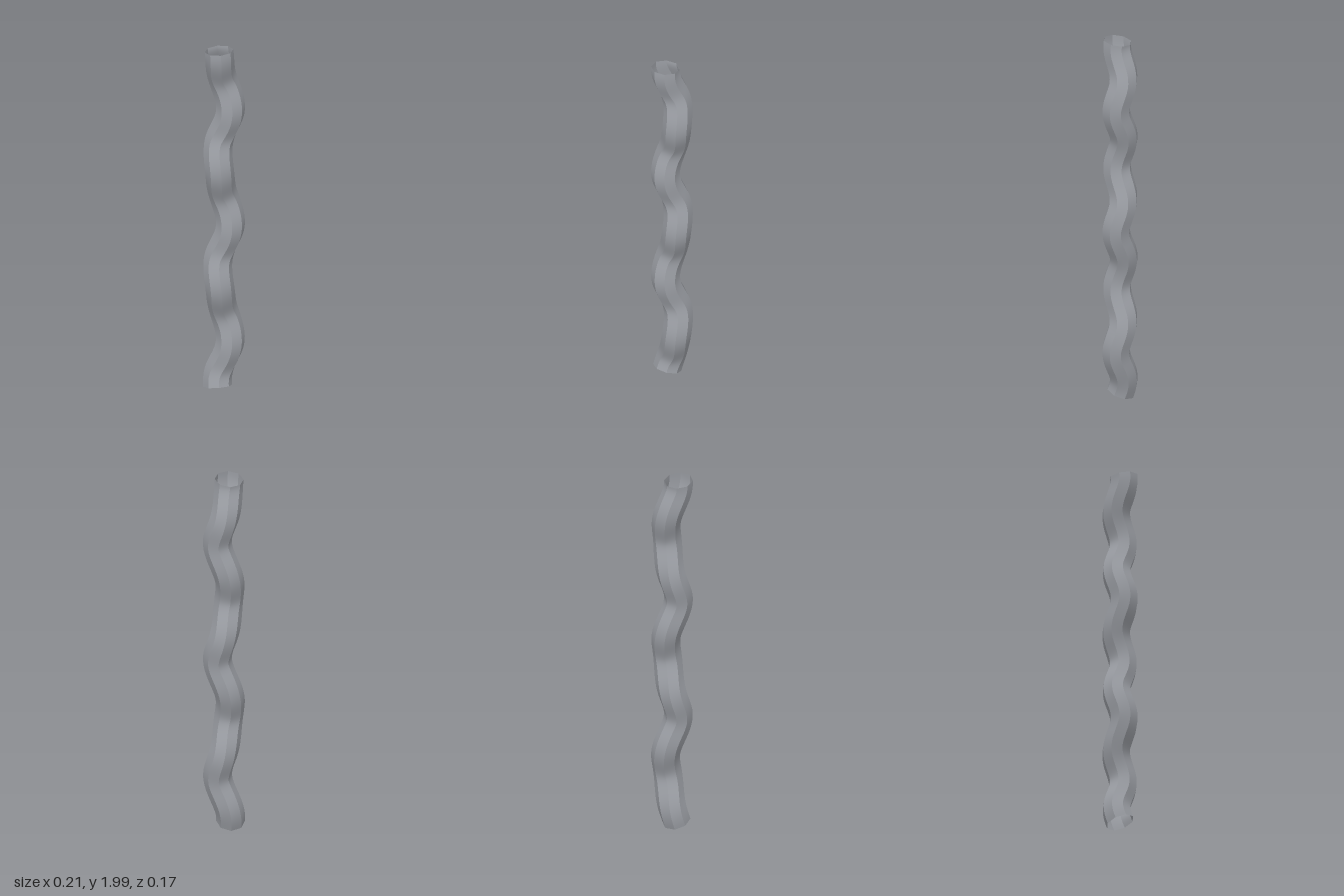
import * as THREE from 'three';

const SIDES = 8, RINGS = 120;
const APOTHEM = 0.069, RADIUS = APOTHEM / Math.cos(Math.PI / SIDES);
const Y0 = 0.031, Y1 = 1.988;

// Centre line: one sway in x for every two sways in z
function centre(y) {
  return new THREE.Vector3(
    -0.034 * Math.cos((2 * Math.PI * (y - 1.99)) / 0.664),
    y,
    0.018 * Math.cos((2 * Math.PI * (y - 1.965)) / 0.337)
  );
}

// Octagonal cross-section square to the centre line
function ring(y) {
  const c = centre(y);
  const t = centre(y + 0.001).sub(centre(y - 0.001)).normalize();
  const u = new THREE.Vector3(1, 0, 0).addScaledVector(t, -t.x).normalize();
  const v = new THREE.Vector3().crossVectors(u, t);
  return Array.from({ length: SIDES }, (_, k) => {
    const a = ((k + 0.5) / SIDES) * Math.PI * 2;
    return c.clone()
      .addScaledVector(u, RADIUS * Math.cos(a))
      .addScaledVector(v, RADIUS * Math.sin(a));
  });
}

// Each side is its own strip: smooth lengthwise, sharp between sides
function tubeGeometry() {
  const rings = [];
  for (let i = 0; i <= RINGS; i++) rings.push(ring(Y0 + ((Y1 - Y0) * i) / RINGS));
  const pos = [], index = [];
  for (let k = 0; k < SIDES; k++) {
    const base = pos.length / 3;
    for (const r of rings) pos.push(...r[k].toArray(), ...r[(k + 1) % SIDES].toArray());
    for (let i = 0; i < RINGS; i++) {
      const a = base + i * 2;
      index.push(a, a + 2, a + 1, a + 1, a + 2, a + 3);
    }
  }
  const g = new THREE.BufferGeometry();
  g.setAttribute('position', new THREE.Float32BufferAttribute(pos, 3));
  g.setIndex(index);
  g.computeVertexNormals();
  return g;
}

export function createModel() {
  const group = new THREE.Group();
  group.name = 'wavyPipe';
  // Open, hollow pipe
  const grey = new THREE.MeshStandardMaterial({ color: 0x9a9da3, side: THREE.DoubleSide });
  grey.name = 'metal grey';
  const pipe = new THREE.Mesh(tubeGeometry(), grey);
  pipe.name = 'pipeWall';
  group.add(pipe);
  return group;
}
